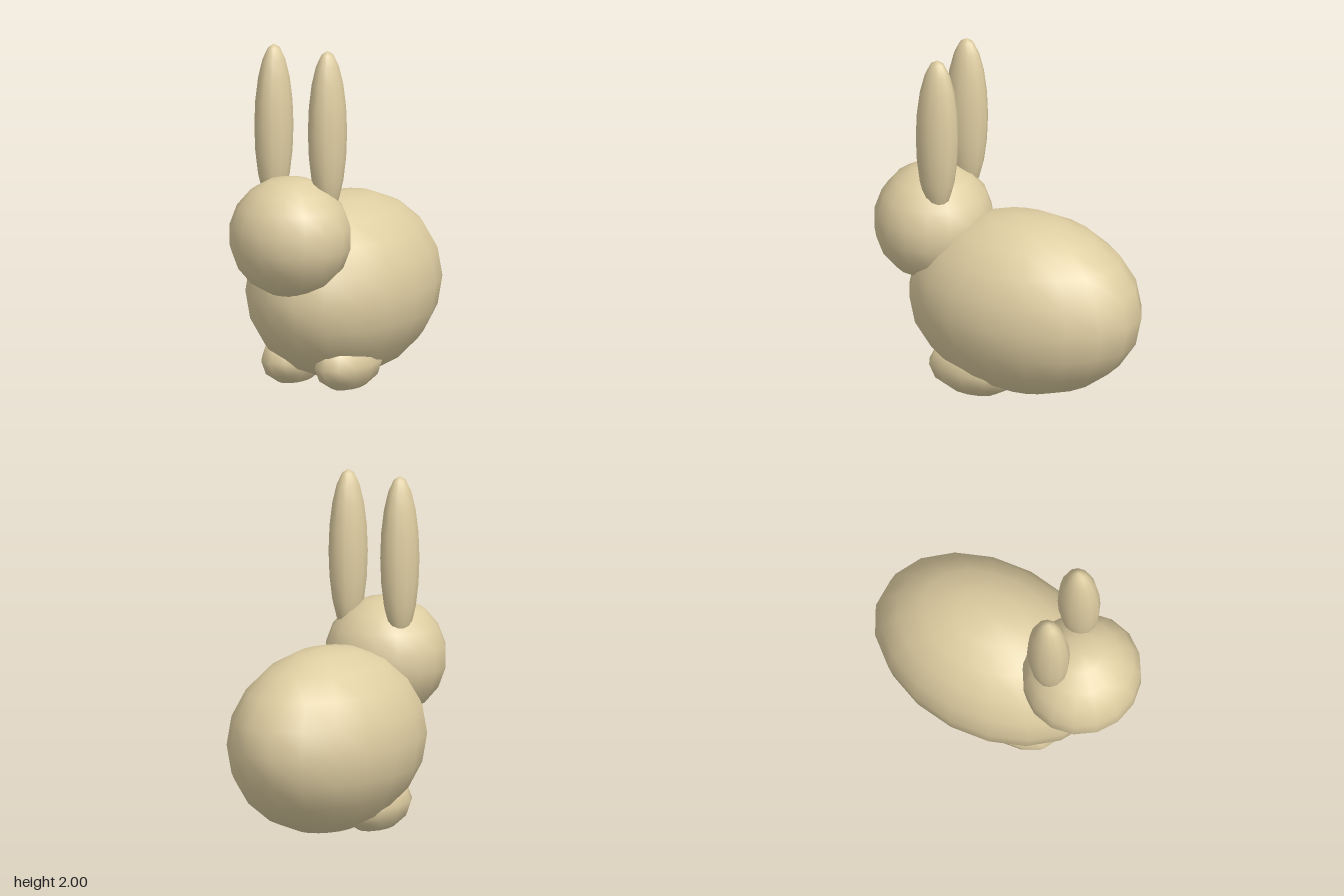
import * as THREE from 'three';

export function createModel() {
  const rabbit = new THREE.Group();
  rabbit.name = 'rabbit';
  const fur = new THREE.MeshStandardMaterial({ color: 0xdfcea2 });
  fur.name = 'tan fur';

  // Smooth ellipsoid with the given radii, centre and segment counts
  function ellipsoid(name, radii, centre, around, high) {
    const geometry = new THREE.SphereGeometry(1, around, high);
    geometry.scale(...radii);
    const mesh = new THREE.Mesh(geometry, fur);
    mesh.name = name;
    mesh.position.set(...centre);
    rabbit.add(mesh);
  }

  ellipsoid('body', [0.487, 0.527, 0.704], [0, 0.552, -0.111], 18, 10);
  ellipsoid('head', [0.352, 0.343, 0.338], [0, 0.933, 0.472], 16, 9);

  // Paired ears and feet
  for (const [side, s] of [['left', 1], ['right', -1]]) {
    ellipsoid(side + 'Ear', [0.105, 0.47, 0.125], [s * 0.176, 1.53, 0.357], 12, 10);
    ellipsoid(side + 'Foot', [0.155, 0.157, 0.28], [s * 0.175, 0.162, 0.125], 12, 6);
  }
  return rabbit;
}
